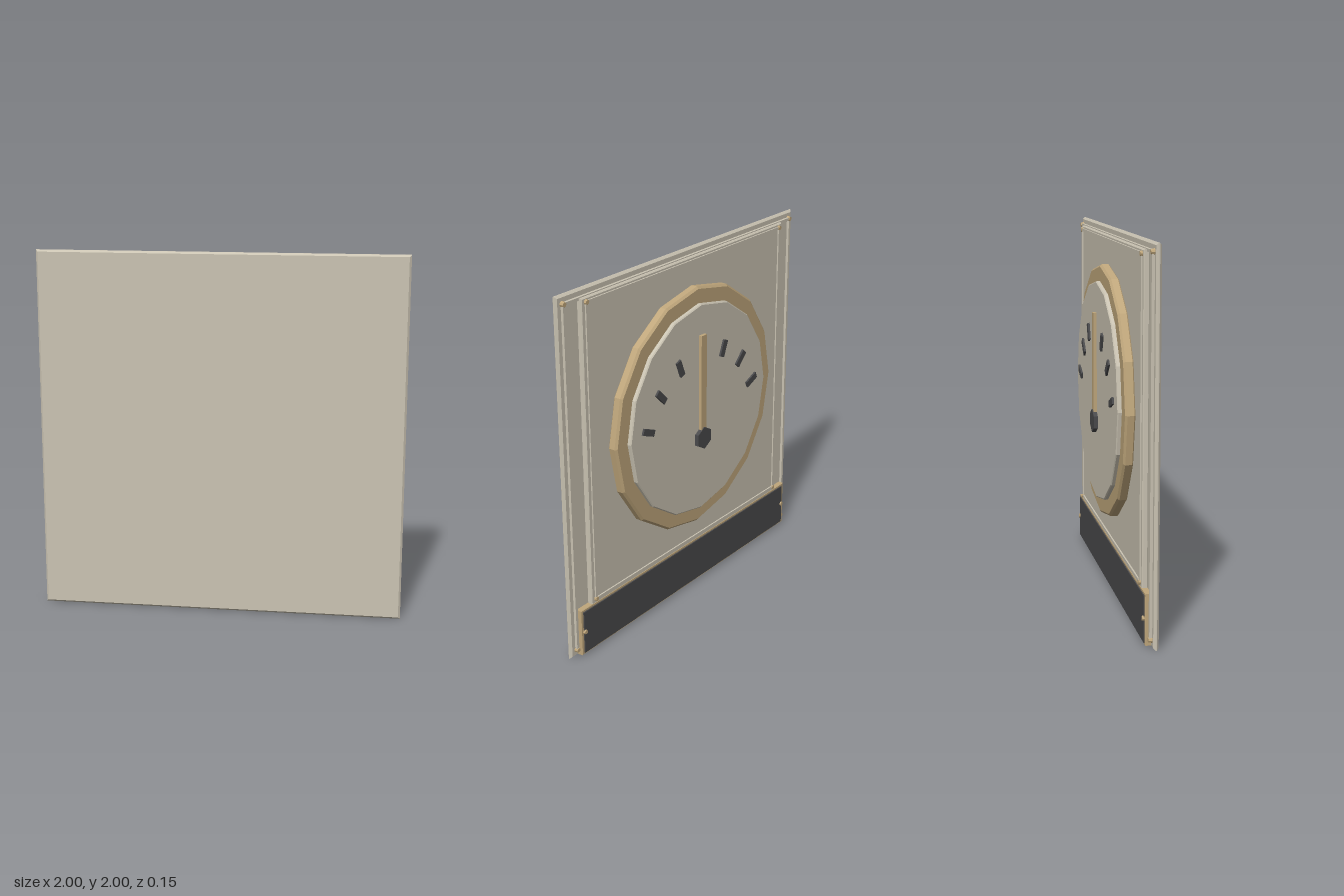
import * as THREE from 'three';

export function createModel() {
  const root = new THREE.Group();
  const mat = (name, color) => {
    const m = new THREE.MeshStandardMaterial({ color, flatShading: true });
    m.name = name;
    return m;
  };
  const stone = mat('warm grey', 0xcbc4b3);
  const brass = mat('dull brass', 0xc0a77c);
  const dark = mat('charcoal', 0x4a4a4c);

  const add = (name, geometry, material, parent = root) => {
    const m = new THREE.Mesh(geometry, material);
    m.name = name;
    parent.add(m);
    return m;
  };

  // Chamfered slab between two corners; the bevel stays inside the given size
  const slab = (x, y0, y1, zBack, zFront, c) => {
    const s = new THREE.Shape([
      new THREE.Vector2(-x + c, y0 + c), new THREE.Vector2(x - c, y0 + c),
      new THREE.Vector2(x - c, y1 - c), new THREE.Vector2(-x + c, y1 - c),
    ]);
    const g = new THREE.ExtrudeGeometry(s, {
      depth: zFront - zBack - 2 * c, bevelEnabled: true,
      bevelSize: c, bevelThickness: c, bevelSegments: 1,
    });
    return g.translate(0, 0, zBack + c);
  };

  // Round solid whose profile [radius, z] runs towards -z
  const turned = (profile, sides) => new THREE.LatheGeometry(
    profile.map(([r, z]) => new THREE.Vector2(r, -z)), sides).rotateX(-Math.PI / 2);

  // Layered plates
  add('basePlate', slab(1, 0, 2, 0.049, 0.077, 0.011), stone);
  add('facePlate', slab(0.855, 0.27, 1.96, 0.02, 0.052, 0.006), stone);

  // Trim rods joined by corner rivets
  const trim = (name, x, y0, y1, z) => {
    const g = new THREE.Group();
    g.name = name;
    root.add(g);
    const w = 0.016, h = y1 - y0;
    for (const s of [-1, 1]) {
      add('sideRod', new THREE.BoxGeometry(w, h, w), stone, g).position.set(s * x, (y0 + y1) / 2, z);
      add('crossRod', new THREE.BoxGeometry(2 * x, w, w), stone, g).position.set(0, s < 0 ? y0 : y1, z);
      for (const y of [y0, y1]) rivet(s * x, y, z, g);
    }
  };
  const rivet = (x, y, z, parent) => add('rivet',
    new THREE.CylinderGeometry(0.012, 0.017, 0.024, 8).rotateX(-Math.PI / 2),
    brass, parent).position.set(x, y, z);
  trim('outerTrim', 0.958, 0.043, 1.957, 0.042);
  trim('innerTrim', 0.822, 0.3, 1.937, 0.02);

  // Lower panel in its frame
  add('panelFrame', slab(0.945, 0.008, 0.278, 0.018, 0.052, 0.003), brass);
  add('lowerPanel', slab(0.928, 0.017, 0.265, 0.013, 0.04, 0.002), dark);
  for (const s of [-1, 1]) rivet(s * 0.92, 0.145, 0.018, root);

  // Dial: chamfered ring and raised disc
  const dial = new THREE.Group();
  dial.name = 'dial';
  dial.position.y = 1.12;
  root.add(dial);
  add('dialRing', turned([[0.56, 0.024], [0.68, 0.024], [0.69, 0.014], [0.69, -0.021],
    [0.678, -0.032], [0.56, -0.032]], 16), brass, dial);
  add('dialDisc', turned([[0.6, -0.02], [0.6, -0.049], [0.594, -0.054], [0, -0.054]], 16), stone, dial);

  // Gauge: hub, needle and tick marks
  const gauge = new THREE.Group();
  gauge.name = 'gauge';
  gauge.position.y = 0.955;
  root.add(gauge);
  add('hub', turned([[0, -0.05], [0.065, -0.05], [0.065, -0.077], [0, -0.077]], 6), dark, gauge);
  add('needle', new THREE.BoxGeometry(0.046, 0.595, 0.022), brass, gauge).position.set(0, 0.2975, -0.061);
  for (const deg of [22.5, 45, 67.5, 112.5, 135, 157.5]) {
    const a = THREE.MathUtils.degToRad(deg);
    const t = add('tickMark', new THREE.BoxGeometry(0.095, 0.036, 0.014), dark, gauge);
    t.position.set(0.5 * Math.cos(a), 0.5 * Math.sin(a), -0.058);
    t.rotation.z = a;
  }
  return root;
}
